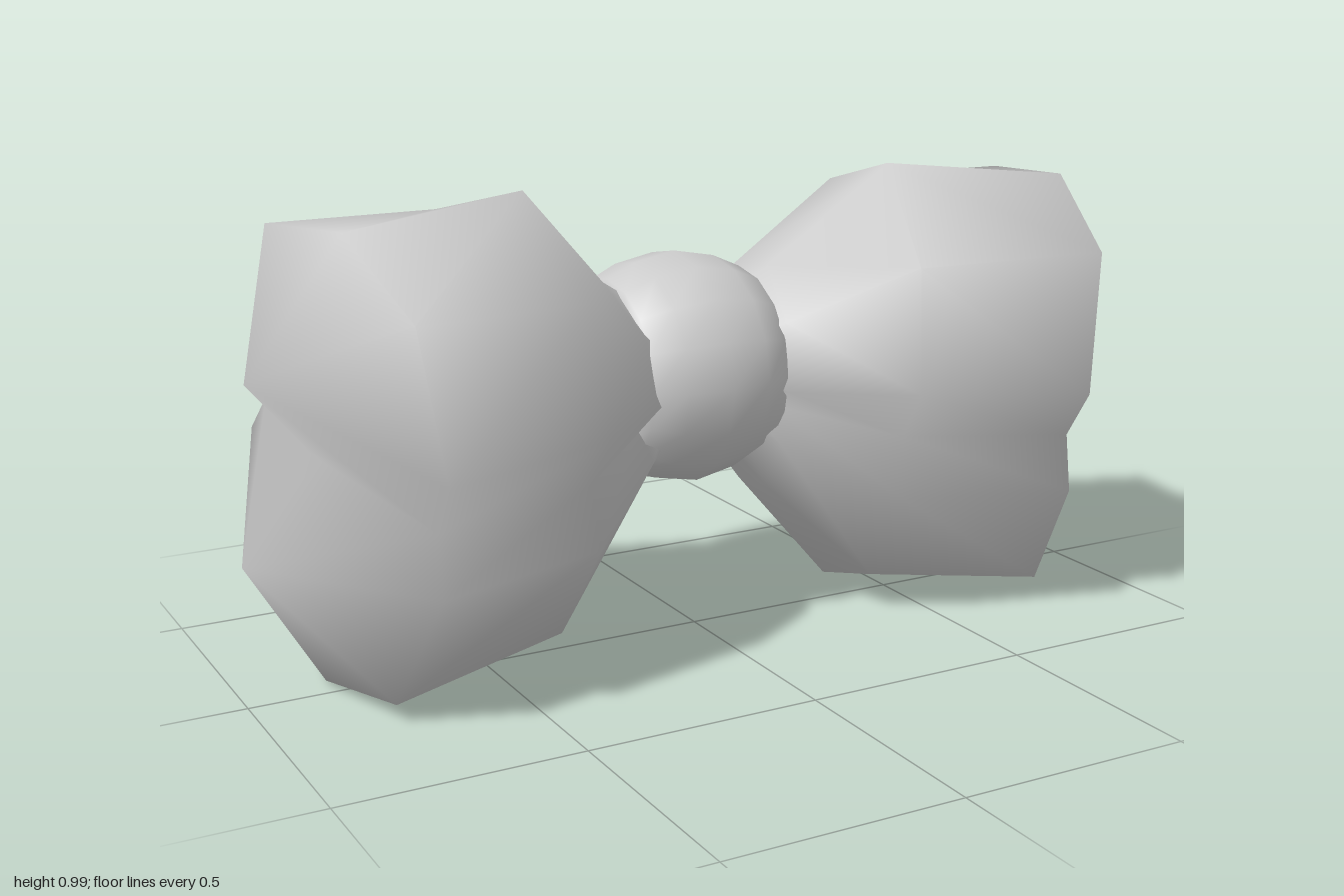
import * as THREE from 'three';

const material = new THREE.MeshStandardMaterial({ color: 0xcccccc, side: THREE.DoubleSide });
const SIN = 0.22, COS = 0.975; // roll of the bow about its long axis

// Two-lobed cross-section, from the top over the front to the bottom and back.
// The waist of the section is pinched to make the fold.
function section(shoulder, pinch) {
  return [
    [0.06, 1], [0.73, shoulder], [1, 0.24], [pinch, 0], [1, -0.24], [0.73, -shoulder],
    [0.05, -1], [-0.75, -shoulder], [-1, -0.18], [-pinch, 0], [-1, 0.18], [-0.75, shoulder],
  ];
}

// Puffed wing lofted along x; side is +1 for the left wing, -1 for the right
function wingGeometry(side) {
  const rings = [ // centre x, y, z, half depth, half height, shoulder height, pinch, outward flare
    [0.10, 0.55, -0.10, 0.165, 0.165, 0.74, 0.82, 0],
    [0.20, 0.52, -0.105, 0.23, 0.26, 0.74, 0.74, 0],
    [0.43, 0.50, -0.05, 0.36, 0.51, 0.72, 0.86, 0],
    [0.79, 0.485, 0.045, 0.36, 0.486, 0.82, 0.88, 0.08],
  ];
  const n = 12, positions = [], index = [];
  const point = (x, y, z, u, v) =>
    positions.push(side * (x - 0.2 * u), y + v * COS - u * SIN, z + u * COS + v * SIN);
  const face = (a, b, c) => (side > 0 ? index.push(a, b, c) : index.push(a, c, b));

  for (const [x, y, z, depth, height, shoulder, pinch, flare] of rings)
    for (const [u, v] of section(shoulder, pinch))
      point(x + flare * Math.abs(v * height), y, z, u * depth, v * height);

  for (let r = 0; r < rings.length - 1; r++)
    for (let i = 0; i < n; i++) {
      const a = r * n + i, b = r * n + ((i + 1) % n);
      face(a, b, b + n);
      face(a, b + n, a + n);
    }

  // Outer end: each lobe closes on its own tip, with a groove between them
  const last = (rings.length - 1) * n, groove = rings.length * n;
  point(0.85, 0.5, 0.05, 0, 0);
  [[9, 0.195], [3, -0.195]].forEach(([start, v], k) => {
    const tip = groove + 1 + k;
    point(1, 0.485, 0.06, 0, v);
    for (let i = start; i < start + 6; i++) face(last + (i % n), last + ((i + 1) % n), tip);
    face(last + ((start + 6) % n), groove, tip);
    face(groove, last + start, tip);
  });

  const geometry = new THREE.BufferGeometry();
  geometry.setAttribute('position', new THREE.Float32BufferAttribute(positions, 3));
  geometry.setIndex(index);
  geometry.computeVertexNormals();
  return geometry;
}

export function createModel() {
  const group = new THREE.Group();
  group.name = 'bow';

  for (const side of [1, -1]) {
    const wing = new THREE.Mesh(wingGeometry(side), material);
    wing.name = side > 0 ? 'leftWing' : 'rightWing';
    group.add(wing);
  }

  // Rounded knot, turned about the x axis
  const half = [[0, 0.185], [0.1, 0.184], [0.165, 0.178], [0.205, 0.16], [0.234, 0.095], [0.252, 0]];
  const profile = [
    ...half.map(([r, h]) => new THREE.Vector2(r, -h)),
    ...half.slice(0, -1).reverse().map(([r, h]) => new THREE.Vector2(r, h)),
  ];
  const knot = new THREE.Mesh(new THREE.LatheGeometry(profile, 16).rotateZ(-Math.PI / 2), material);
  knot.name = 'knot';
  knot.position.set(0, 0.56, -0.09);
  knot.scale.z = 1.05;
  group.add(knot);

  return group;
}
